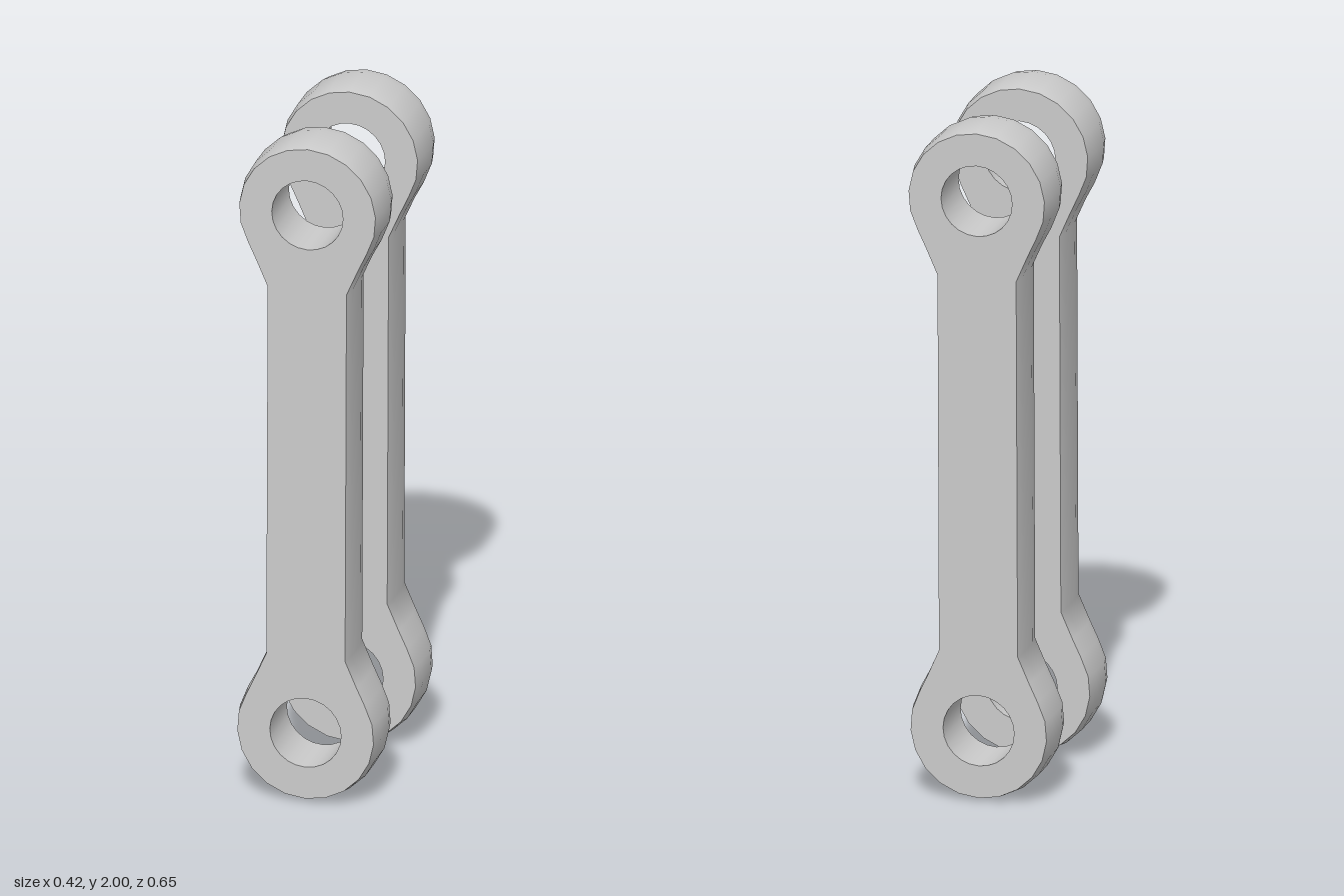
import * as THREE from 'three';

const PIN = 0.79;     // pin centre distance from the middle of the link
const HOLE = 0.105;   // pin hole radius
const HALF = 0.09;    // half thickness

// Closed counter-clockwise outline: two round eyes joined by a narrow shank
function outline(eye, shank) {
  const quarter = [[shank, PIN - 0.23], [eye * 0.74, PIN - 0.155]];
  for (let i = 0; i <= 7; i++) {
    const a = THREE.MathUtils.degToRad(-30 + (120 * i) / 7);
    quarter.push([eye * Math.cos(a), PIN + eye * Math.sin(a)]);
  }
  const topHalf = [...quarter, ...quarter.slice(0, -1).reverse().map(([x, y]) => [-x, y])];
  const all = [...topHalf, ...topHalf.map(([x, y]) => [-x, -y])];
  return all.map(([x, y]) => new THREE.Vector2(x, y));
}

// Rim: outlines lofted through the thickness, slightly fuller in the middle
function rimGeometry() {
  const layers = [[-HALF, 0.201, 0.116], [-0.045, 0.21, 0.122], [0.045, 0.21, 0.122], [HALF, 0.201, 0.116]];
  const positions = [], index = [];
  let n = 0;
  layers.forEach(([z, eye, shank], k) => {
    const ring = outline(eye, shank);
    n = ring.length;
    ring.forEach((p) => positions.push(p.x, p.y, z));
    if (k === 0) return;
    for (let i = 0; i < n; i++) {
      const a = (k - 1) * n + i, b = (k - 1) * n + ((i + 1) % n);
      index.push(a, b, b + n, a, b + n, a + n);
    }
  });
  const geometry = new THREE.BufferGeometry();
  geometry.setAttribute('position', new THREE.Float32BufferAttribute(positions, 3));
  geometry.setIndex(index);
  geometry.computeVertexNormals();
  return geometry;
}

// Flat face with both pin holes cut out
function faceGeometry() {
  const shape = new THREE.Shape(outline(0.201, 0.116));
  for (const y of [-PIN, PIN]) {
    shape.holes.push(new THREE.Path().absarc(0, y, HOLE, 0, Math.PI * 2, true));
  }
  return new THREE.ShapeGeometry(shape, 12);
}

export function createModel() {
  const model = new THREE.Group();
  model.name = 'linkPair';
  const material = new THREE.MeshStandardMaterial({ color: 0xcccccc });
  const boreMaterial = new THREE.MeshStandardMaterial({ color: 0xcccccc, side: THREE.BackSide });
  const rim = rimGeometry();
  const face = faceGeometry();
  const bore = new THREE.CylinderGeometry(HOLE, HOLE, HALF * 2, 24, 1, true).rotateX(Math.PI / 2);

  const add = (parent, name, geometry, mat) => {
    const mesh = new THREE.Mesh(geometry, mat);
    mesh.name = name;
    parent.add(mesh);
    return mesh;
  };

  // Two parallel links, both leaning back a little
  for (const [name, z] of [['frontLink', 0.221], ['backLink', -0.221]]) {
    const link = new THREE.Group();
    link.name = name;
    add(link, 'rim', rim, material);
    add(link, 'frontFace', face, material).position.z = HALF;
    const back = add(link, 'backFace', face, material);
    back.position.z = -HALF;
    back.rotation.y = Math.PI;
    add(link, 'upperPinHole', bore, boreMaterial).position.y = PIN;
    add(link, 'lowerPinHole', bore, boreMaterial).position.y = -PIN;
    link.position.set(0, 1, z);
    link.rotation.x = -0.013;
    model.add(link);
  }
  return model;
}
